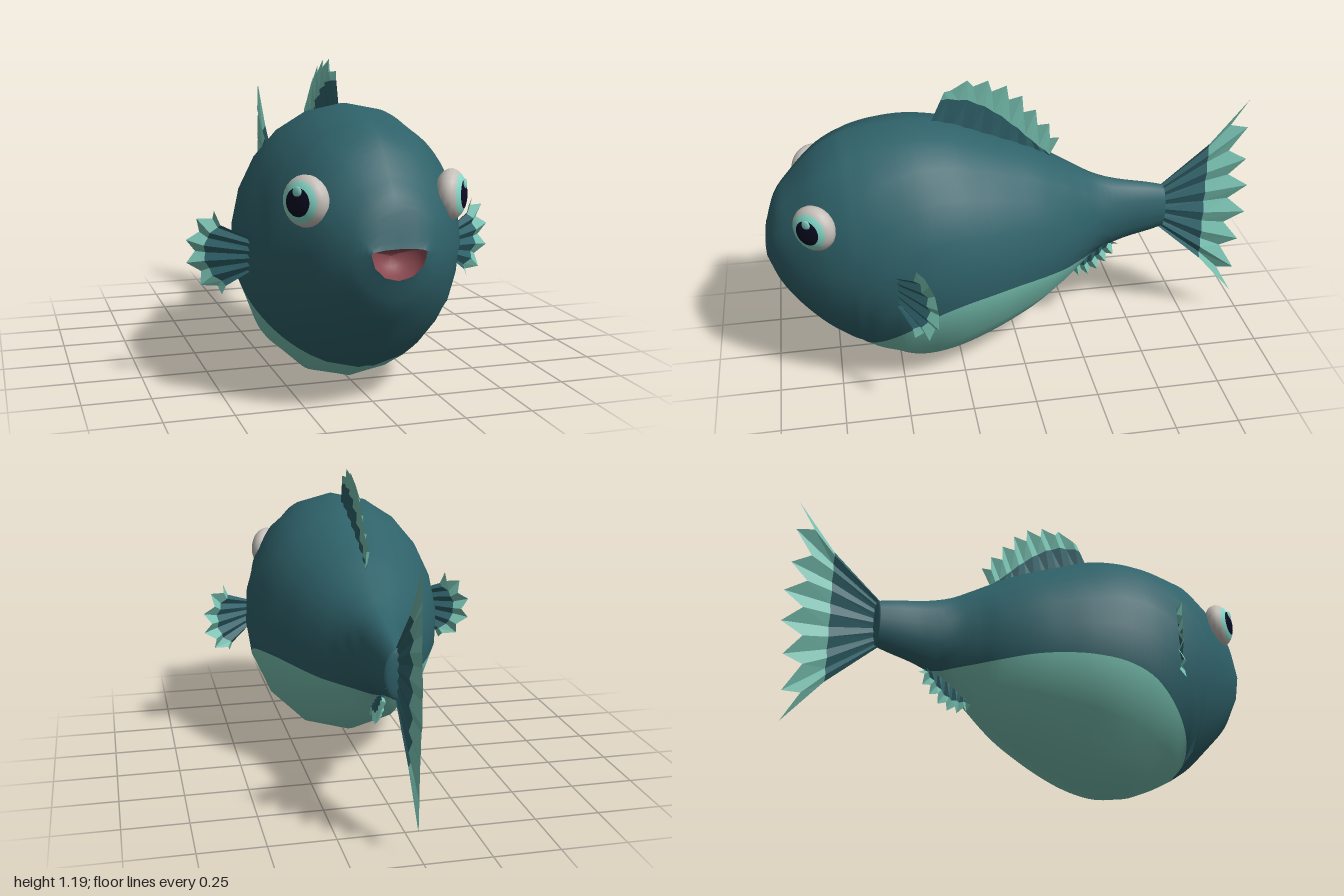
import * as THREE from 'three';

const mat = (name, color, side = THREE.FrontSide) => {
  const m = new THREE.MeshStandardMaterial({ color, side });
  m.name = name;
  return m;
};
const V = (x, y, z) => new THREE.Vector3(x, y, z);

// Body stations, nose to tail: z, top, bottom, half width, widest height, belly line
const STATIONS = [
  [1.0, 0.605, 0.498, 0.098, 0.592, 0.0],
  [0.957, 0.75, 0.39, 0.165, 0.57, 0.0],
  [0.888, 0.84, 0.29, 0.235, 0.565, 0.0],
  [0.797, 0.935, 0.193, 0.3, 0.56, 0.0],
  [0.711, 0.99, 0.128, 0.342, 0.55, 0.06],
  [0.64, 1.012, 0.085, 0.368, 0.54, 0.155],
  [0.56, 1.028, 0.045, 0.39, 0.53, 0.235],
  [0.46, 1.037, 0.006, 0.407, 0.52, 0.32],
  [0.37, 1.032, 0.002, 0.411, 0.517, 0.382],
  [0.26, 1.01, 0.025, 0.4, 0.515, 0.42],
  [0.14, 0.963, 0.07, 0.37, 0.515, 0.436],
  [0.03, 0.918, 0.12, 0.328, 0.52, 0.439],
  [-0.075, 0.872, 0.176, 0.28, 0.525, 0.432],
  [-0.18, 0.813, 0.25, 0.217, 0.535, 0.417],
  [-0.26, 0.768, 0.32, 0.158, 0.545, 0.408],
  [-0.34, 0.727, 0.38, 0.112, 0.555, 0.4],
  [-0.45, 0.695, 0.42, 0.08, 0.56, 0.38],
  [-0.56, 0.673, 0.445, 0.063, 0.56, 0.3],
  [-0.625, 0.655, 0.462, 0.052, 0.56, 0.3],
];

// Smooth interpolation of the stations, t from 0 to 1
function station(t) {
  const n = STATIONS.length - 1;
  const f = Math.min(Math.max(t, 0), 1) * n;
  const i = Math.min(Math.floor(f), n - 1), u = f - i;
  const row = k => STATIONS[Math.min(Math.max(k, 0), n)];
  const [a, b, c, d] = [row(i - 1), row(i), row(i + 1), row(i + 2)];
  return b.map((p, k) => p + 0.5 * u * (c[k] - a[k]
    + u * (2 * a[k] - 5 * p + 4 * c[k] - d[k] + u * (3 * (p - c[k]) + d[k] - a[k]))));
}

// Point on the skin; angle 0 is the keel, PI is the back
function skin(t, a) {
  const [z, top, bottom, w, mid] = station(t);
  const c = Math.cos(a);
  return V(w * Math.sin(a), mid - c * (c > 0 ? mid - bottom : top - mid), z);
}
function skinNormal(t, a) {
  const e = 0.002;
  const dt = skin(Math.min(t + e, 1), a).sub(skin(Math.max(t - e, 0), a));
  const da = skin(t, a + e).sub(skin(t, a - e));
  return dt.cross(da).normalize();
}
// Half angle covered by the pale belly
function bellyAngle(t) {
  const [, , bottom, , mid, line] = station(t);
  return Math.acos(Math.min(Math.max((mid - line) / (mid - bottom), -1), 1));
}

// Grid surface from point(u, v), with optional normal(u, v)
function surface(name, material, rows, cols, point, normal) {
  const pos = [], nor = [], idx = [];
  for (let i = 0; i <= rows; i++) for (let j = 0; j <= cols; j++) {
    pos.push(...point(i / rows, j / cols).toArray());
    if (normal) nor.push(...normal(i / rows, j / cols).toArray());
    if (i < rows && j < cols) {
      const a = i * (cols + 1) + j, b = a + cols + 1;
      idx.push(a, b, a + 1, b, b + 1, a + 1);
    }
  }
  const g = new THREE.BufferGeometry();
  g.setAttribute('position', new THREE.Float32BufferAttribute(pos, 3));
  g.setIndex(idx);
  if (normal) g.setAttribute('normal', new THREE.Float32BufferAttribute(nor, 3));
  else g.computeVertexNormals();
  const m = new THREE.Mesh(g, material);
  m.name = name;
  return m;
}

// Pleated fin: dark web from root to edge, pale jagged fringe from edge to tips
function fin(name, mats, place, normal, tips, rootPts, edgePts, tipPts, amp = 0.01) {
  const curve = pts => new THREE.SplineCurve(pts.map(p => new THREE.Vector2(...p)));
  const [root, edge, tip] = [rootPts, edgePts, tipPts].map(curve);
  const cols = 2 * (tips - 1);
  const pleat = (p, j, k) => place(p.x, p.y).addScaledVector(normal, (j % 2 ? -1 : 1) * amp * k);
  const lines = [0, 1, 2].map(l => Array.from({ length: cols + 1 }, (_, j) => {
    const u = j / cols;
    if (l === 0) return pleat(root.getPoint(u), j, 0.3);
    const e = edge.getPoint(u);
    if (l === 1) return pleat(e, j, 0.7);
    return pleat(tip.getPoint(u).lerp(e, j % 2 ? 0.42 : 0), j, 1);
  }));
  const group = new THREE.Group();
  group.name = name;
  ['Web', 'Fringe'].forEach((part, l) => {
    const m = surface(name + part, mats[l], 1, cols, (u, v) => lines[l + Math.round(u)][Math.round(v * cols)]);
    m.geometry = m.geometry.toNonIndexed();
    m.geometry.computeVertexNormals();
    group.add(m);
  });
  return group;
}

export function createModel() {
  const model = new THREE.Group();
  model.name = 'fish';
  const teal = mat('deep teal', 0x2f626a, THREE.DoubleSide);
  const mint = mat('mint', 0x78c2b2, THREE.DoubleSide);
  const white = mat('eye white', 0xc4beb8);
  const iris = mat('iris aqua', 0x86d8c8);
  const black = mat('pupil navy', 0x0a0a24);
  const red = mat('mouth red', 0x8a4850, THREE.DoubleSide);

  // Body: dark back and pale belly meet along the belly line
  const patch = (name, material, cols, angle) => model.add(surface(name, material, 72, cols,
    (t, v) => skin(t, angle(t, v)), (t, v) => skinNormal(t, angle(t, v))));
  patch('back', teal, 12, (t, v) => { const b = bellyAngle(t); return b + v * 2 * (Math.PI - b); });
  patch('belly', mint, 6, (t, v) => bellyAngle(t) * (2 * v - 1));

  const stub = new THREE.Mesh(new THREE.SphereGeometry(1, 16, 10), teal);
  stub.name = 'tailStub';
  stub.position.set(0, 0.558, -0.622);
  stub.scale.set(0.051, 0.097, 0.014);
  model.add(stub);

  // Mouth: hollow bowl set into the open nose
  model.add(surface('mouth', red, 6, 24, (u, v) => {
    const p = skin(0, -v * 2 * Math.PI), s = Math.cos(u * Math.PI / 2);
    return V(p.x * s, 0.565 + (p.y - 0.565) * s, 1 - 0.08 * Math.sin(u * Math.PI / 2));
  }));

  // Eyes: flattened globes banded into pupil, iris and white
  for (const s of [1, -1]) {
    const eye = new THREE.Group();
    eye.name = s > 0 ? 'leftEye' : 'rightEye';
    const n = V(0.81 * s, 0.04, 0.59).normalize();
    const turn = new THREE.Quaternion().setFromUnitVectors(V(0, 1, 0), n);
    for (const [name, material, from, to] of [
      ['pupil', black, 0, 0.58], ['iris', iris, 0.58, 0.92], ['eyeWhite', white, 0.92, Math.PI]]) {
      const m = new THREE.Mesh(new THREE.SphereGeometry(1, 24, 8, 0, 2 * Math.PI, from, to - from), material);
      m.name = name;
      m.scale.set(0.09, 0.055, 0.09);
      m.quaternion.copy(turn);
      eye.add(m);
    }
    const glint = new THREE.Mesh(new THREE.SphereGeometry(1, 12, 8), iris);
    glint.name = 'glint';
    glint.scale.set(0.019, 0.006, 0.019);
    glint.quaternion.copy(turn);
    glint.position.copy(n).multiplyScalar(0.049).add(V(0, 0.036, 0));
    eye.add(glint);
    eye.position.set(0.262 * s, 0.745, 0.805);
    model.add(eye);
  }

  // Centre-line fins, drawn in (z, y)
  const mats = [teal, mint], centre = (z, y) => V(0, y, z), X = V(1, 0, 0);
  model.add(fin('dorsalFin', mats, centre, X, 8,
    [[0.335, 1.01], [0.1, 0.93], [-0.14, 0.81]],
    [[0.29, 1.11], [0.19, 1.1], [0.096, 1.053], [0.005, 0.979], [-0.075, 0.9], [-0.14, 0.84]],
    [[0.275, 1.145], [0.17, 1.19], [0.08, 1.172], [0, 1.134], [-0.064, 1.064], [-0.128, 0.99], [-0.178, 0.915]]));
  model.add(fin('tailFin', mats, centre, X, 8,
    [[-0.61, 0.655], [-0.61, 0.462]],
    [[-0.81, 0.83], [-0.81, 0.28]],
    [[-0.963, 1.018], [-0.97, 0.78], [-0.995, 0.56], [-0.97, 0.33], [-0.963, 0.1]]));
  model.add(fin('analFin', mats, centre, X, 8,
    [[-0.2, 0.32], [-0.31, 0.4], [-0.42, 0.44]],
    [[-0.22, 0.31], [-0.26, 0.297], [-0.315, 0.305], [-0.37, 0.355], [-0.415, 0.405]],
    [[-0.208, 0.294], [-0.24, 0.262], [-0.29, 0.25], [-0.337, 0.262], [-0.38, 0.3], [-0.417, 0.337], [-0.44, 0.395]]));

  // Side fins, drawn in (x, y) and swept backwards
  for (const s of [1, -1]) {
    model.add(fin(s > 0 ? 'leftSideFin' : 'rightSideFin', mats,
      (x, y) => V(s * x, y, 0.51 - (x - 0.4) * 0.7), V(0.57 * s, 0, 0.82), 6,
      [[0.385, 0.57], [0.385, 0.51], [0.385, 0.45]],
      [[0.478, 0.612], [0.52, 0.57], [0.535, 0.505], [0.515, 0.435], [0.463, 0.39]],
      [[0.497, 0.664], [0.554, 0.632], [0.589, 0.55], [0.589, 0.465], [0.544, 0.386], [0.475, 0.357]], 0.012));
  }
  return model;
}
